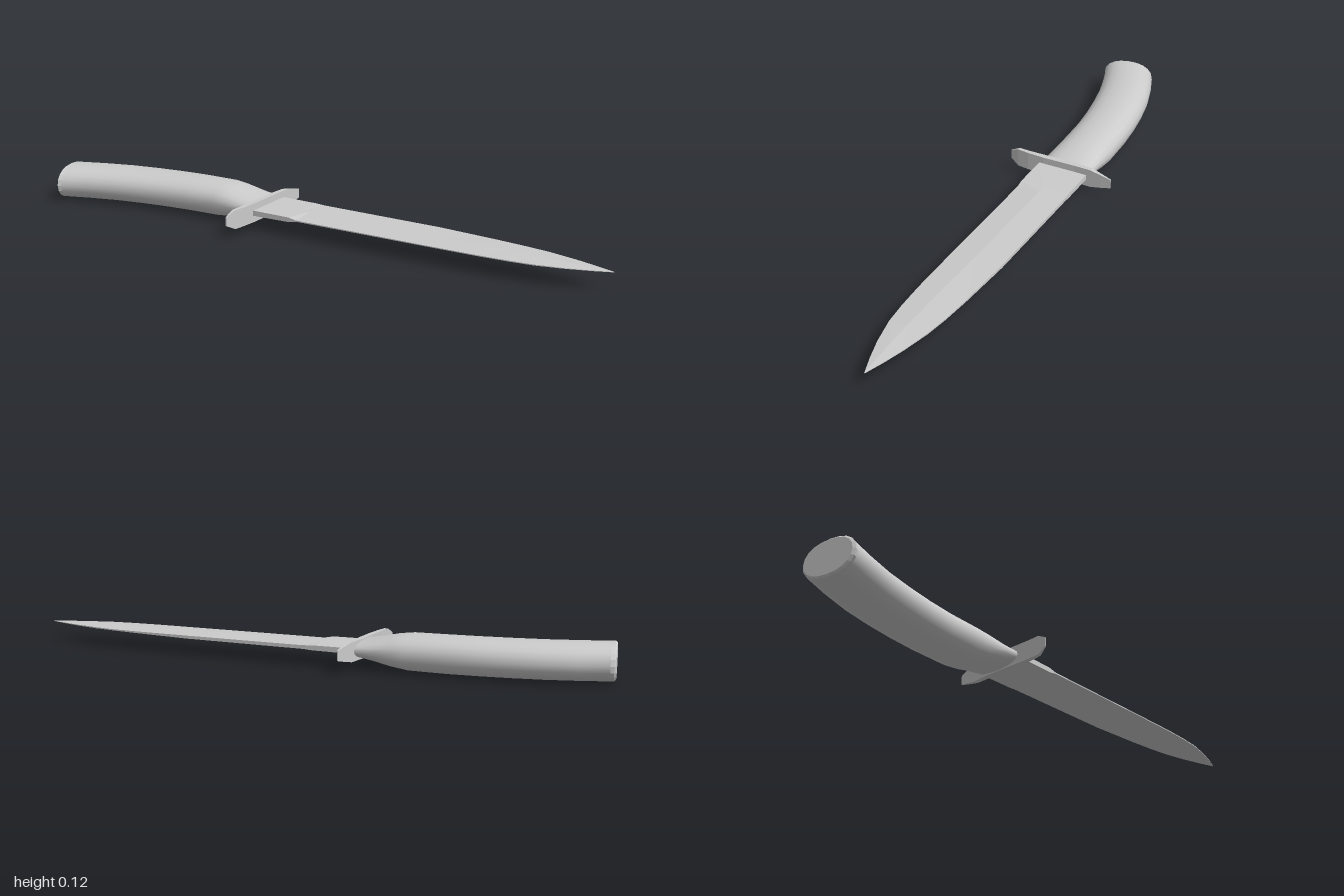
import * as THREE from 'three';

const CY = 0.06; // height of the knife's middle plane

// Skin closed rings of [x, y, z] points, with capped ends.
function loft(name, rings, smooth, capStart = true, capEnd = true) {
  const n = rings[0].length, pos = rings.flat(2), index = [];
  for (let i = 0; i < rings.length - 1; i++) {
    for (let j = 0; j < n; j++) {
      const a = i * n + j, b = i * n + (j + 1) % n;
      index.push(a, b, a + n, b, b + n, a + n);
    }
  }
  const cap = (ring, flip) => {
    const base = pos.length / 3;
    pos.push(...ring.flat());
    for (let j = 1; j < n - 1; j++) {
      if (flip) index.push(base, base + j + 1, base + j);
      else index.push(base, base + j, base + j + 1);
    }
  };
  if (capStart) cap(rings[0], true);
  if (capEnd) cap(rings[rings.length - 1], false);
  let geo = new THREE.BufferGeometry();
  geo.setAttribute('position', new THREE.Float32BufferAttribute(pos, 3));
  geo.setIndex(index);
  if (!smooth) geo = geo.toNonIndexed();
  geo.computeVertexNormals();
  const mat = new THREE.MeshStandardMaterial({ color: 0xcccccc, flatShading: !smooth });
  const mesh = new THREE.Mesh(geo, mat);
  mesh.name = name;
  return mesh;
}

// Rounded grip section between a back point and a belly point.
function gripRing([xBack, zBack, xBelly, zBelly, h], scale = 1, dx = 0) {
  const soft = v => Math.sign(v) * Math.abs(v) ** 0.9;
  return Array.from({ length: 20 }, (_, i) => {
    const t = i / 20 * Math.PI * 2;
    const u = soft(Math.sin(t)) * scale, v = soft(Math.cos(t)) * scale;
    const k = (u + 1) / 2;
    return [xBack + (xBelly - xBack) * k + dx, CY + v * h, zBack + (zBelly - zBack) * k];
  });
}

export function createModel() {
  const knife = new THREE.Group();
  knife.name = 'knife';

  // Curved grip: xBack, zBack, xBelly, zBelly, half height
  const grip = [
    [-0.985, -0.016, -0.955, 0.17, 0.059],
    [-0.9, -0.047, -0.87, 0.142, 0.059],
    [-0.8, -0.076, -0.775, 0.115, 0.059],
    [-0.7, -0.095, -0.68, 0.096, 0.059],
    [-0.6, -0.108, -0.585, 0.081, 0.059],
    [-0.5, -0.116, -0.49, 0.071, 0.059],
    [-0.37, -0.119, -0.37, 0.067, 0.058],
    [-0.32, -0.117, -0.32, 0.068, 0.051],
    [-0.26, -0.112, -0.26, 0.071, 0.037],
    [-0.205, -0.106, -0.205, 0.074, 0.028],
  ];
  knife.add(loft('grip', grip.map(s => gripRing(s)), true, false, true));

  // Butt with a narrow bevel
  const end = [-1.0, -0.01, -0.971, 0.176, 0.059];
  knife.add(loft('butt', [gripRing(end, 0.92), gripRing(end, 1, 0.005), gripRing(grip[0])], false, true, false));

  // S-curved crossguard: z, x, half height, half thickness
  const guard = [
    [-0.195, -0.189, 0.016, 0.002],
    [-0.16, -0.193, 0.024, 0.005],
    [-0.12, -0.198, 0.032, 0.008],
    [-0.06, -0.203, 0.032, 0.01],
    [0.06, -0.205, 0.032, 0.01],
    [0.12, -0.208, 0.032, 0.008],
    [0.162, -0.213, 0.032, 0.006],
    [0.195, -0.221, 0.015, 0.002],
  ];
  knife.add(loft('crossguard', guard.map(([z, x, h, t]) => [
    [x - t, CY - h, z], [x + t, CY - h, z], [x + t, CY + h, z], [x - t, CY + h, z],
  ]), false));

  // Blade: x, zBack, zEdge, half thickness of ridge, back and edge
  const blade = [
    [-0.2, -0.104, 0.075, 0.009, 0.009, 0.009],
    [-0.06, -0.104, 0.073, 0.009, 0.008, 0.008],
    [-0.03, -0.104, 0.072, 0.009, 0.006, 0.002],
    [0.4, -0.102, 0.069, 0.008, 0.005, 0.0015],
    [0.6, -0.092, 0.066, 0.008, 0.003, 0.0015],
    [0.7, -0.084, 0.061, 0.007, 0.002, 0.0015],
    [0.78, -0.073, 0.053, 0.006, 0.002, 0.0015],
    [0.87, -0.053, 0.033, 0.005, 0.0015, 0.001],
    [0.94, -0.033, 0.011, 0.003, 0.001, 0.001],
    [1.0, -0.013, -0.011, 0.0008, 0.0005, 0.0005],
  ];
  knife.add(loft('blade', blade.map(([x, z0, z1, m, b, e]) => {
    const zr = z0 + (z1 - z0) * 0.53;
    return [
      [x, CY + b, z0], [x, CY + m, zr], [x, CY + e, z1],
      [x, CY - e, z1], [x, CY - m, zr], [x, CY - b, z0],
    ];
  }), false));

  return knife;
}
